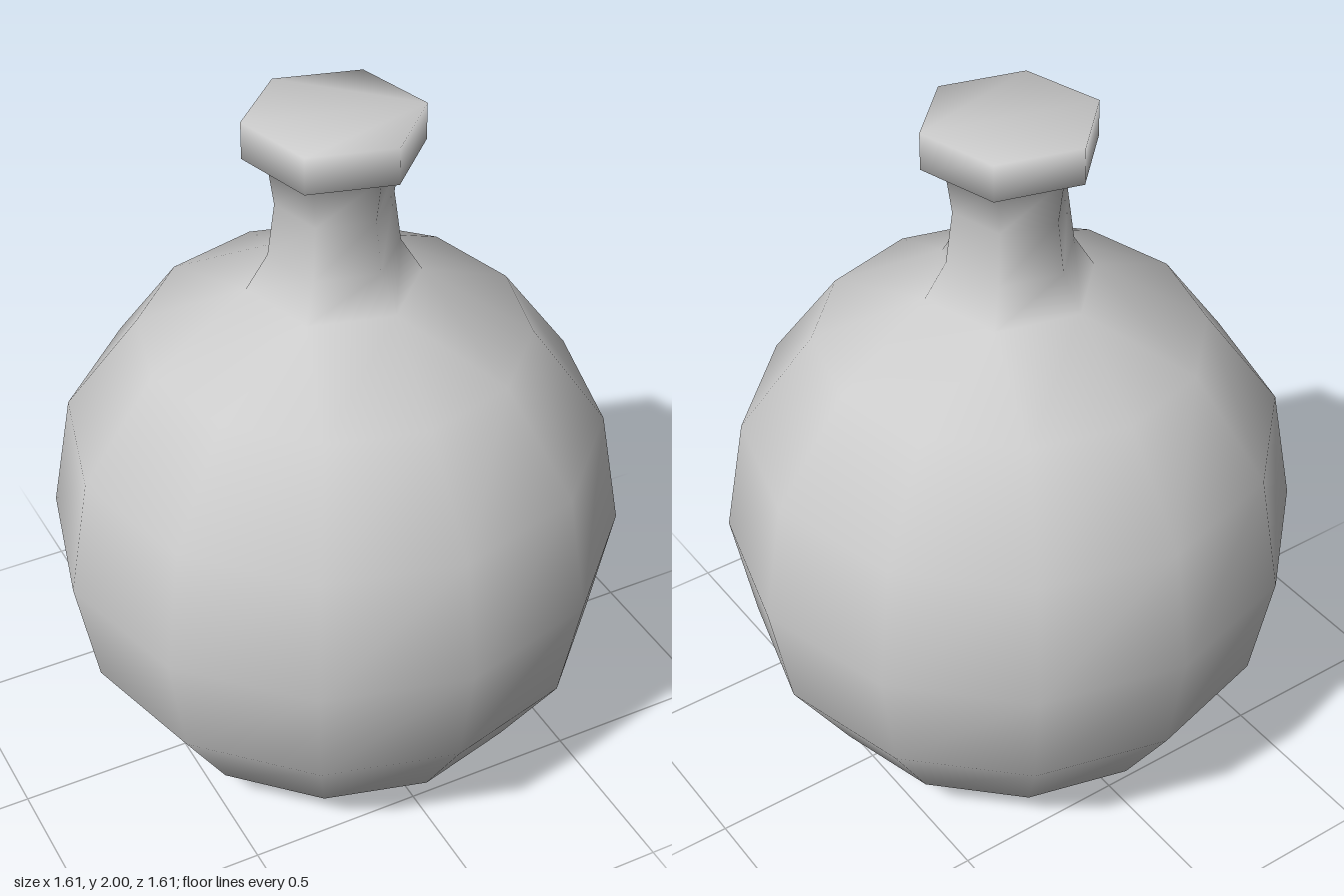
import * as THREE from 'three';

// Cross-sections from bottom to top: [height, radius, sides]
const RINGS = [
  [0, 0.357, 6], [0.125, 0.575, 12], [0.39, 0.745, 12], [0.72, 0.805, 12],
  [1.065, 0.745, 12], [1.35, 0.537, 12], [1.5, 0.24, 6],
  [1.6, 0.18, 6], [1.75, 0.16, 6], [1.88, 0.178, 6],
  [1.895, 0.243, 6], [2.0, 0.243, 6],
];
const COLUMNS = 12;

export function createModel() {
  const group = new THREE.Group();
  group.name = 'flask';
  const material = new THREE.MeshStandardMaterial({ color: 0xcccccc });

  // Each six-sided corner sits over the middle of a twelve-sided edge
  const positions = [];
  const starts = [];
  for (const [y, r, sides] of RINGS) {
    starts.push(positions.length / 3);
    for (let k = 0; k < sides; k++) {
      const a = (k / sides) * Math.PI * 2 + (sides === 6 ? Math.PI / 12 : 0);
      positions.push(r * Math.cos(a), y, r * Math.sin(a));
    }
  }
  const corner = (ring, column) => {
    const c = column % COLUMNS;
    return starts[ring] + (RINGS[ring][2] === 6 ? Math.floor(c / 2) : c);
  };

  // Walls between two ring numbers, dropping collapsed triangles
  const walls = (from, to) => {
    const index = [];
    const tri = (a, b, c) => {
      if (a !== b && b !== c && c !== a) index.push(a, b, c);
    };
    for (let i = from; i < to; i++) {
      for (let c = 0; c < COLUMNS; c++) {
        const a = corner(i, c), b = corner(i, c + 1);
        const u = corner(i + 1, c), v = corner(i + 1, c + 1);
        tri(a, u, b);
        tri(b, u, v);
      }
    }
    return index;
  };

  // Flat six-sided end
  const cap = (ring, up) => {
    const s = starts[ring];
    const index = [];
    for (let k = 1; k < 5; k++) {
      if (up) index.push(s, s + k + 1, s + k);
      else index.push(s, s + k, s + k + 1);
    }
    return index;
  };

  const last = RINGS.length - 1;
  const parts = {
    body: [...cap(0, false), ...walls(0, 6)],
    neck: walls(6, 9),
    lip: [...walls(9, last), ...cap(last, true)],
  };

  // Normals are smoothed over the whole surface, then shared by the parts
  const whole = new THREE.BufferGeometry();
  whole.setAttribute('position', new THREE.Float32BufferAttribute(positions, 3));
  whole.setIndex(Object.values(parts).flat());
  whole.computeVertexNormals();

  for (const [name, index] of Object.entries(parts)) {
    const geometry = whole.clone();
    geometry.setIndex(index);
    const mesh = new THREE.Mesh(geometry, material);
    mesh.name = name;
    group.add(mesh);
  }
  return group;
}
